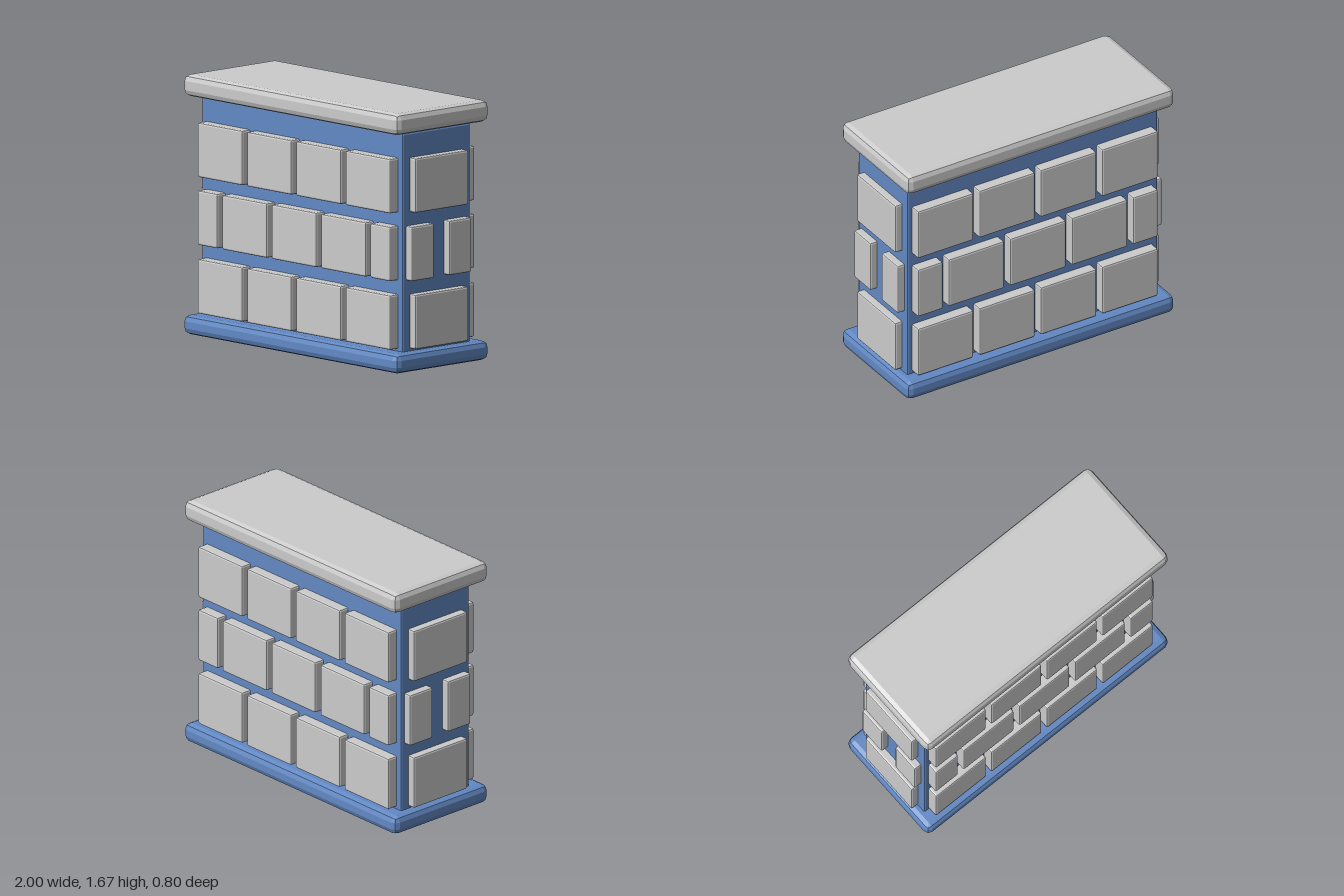
import * as THREE from 'three';
import { RoundedBoxGeometry } from 'three/addons/geometries/RoundedBoxGeometry.js';

export function createModel() {
  const model = new THREE.Group();
  model.name = 'stoneWall';
  const stone = new THREE.MeshStandardMaterial({ color: 0xcccccc, flatShading: true });
  const mortar = new THREE.MeshStandardMaterial({ color: 0x6289c4, flatShading: true });

  // Bevelled block given by its lower and upper corners
  function block(name, parent, material, [x0, y0, z0], [x1, y1, z1], bevel) {
    const geometry = new RoundedBoxGeometry(x1 - x0, y1 - y0, z1 - z0, 1, bevel);
    const mesh = new THREE.Mesh(geometry, material);
    mesh.position.set((x0 + x1) / 2, (y0 + y1) / 2, (z0 + z1) / 2);
    mesh.name = name;
    parent.add(mesh);
  }

  // Base slab, core and capstone
  block('base', model, mortar, [-1, 0, -0.4], [1, 0.125, 0.4], 0.04);
  block('core', model, mortar, [-0.935, 0.06, -0.29], [0.935, 1.525, 0.29], 0.012);
  block('capstone', model, stone, [-1, 1.528, -0.4], [1, 1.667, 0.4], 0.04);

  // Bricks per course: bottom y, spans along the long faces and along the ends
  const longFull = [[-0.9, -0.484], [-0.441, -0.025], [0.018, 0.434], [0.477, 0.893]];
  const longStaggered = [[-0.9, -0.714], [-0.67, -0.255], [-0.21, 0.205], [0.25, 0.665], [0.708, 0.893]];
  const endFull = [[-0.228, 0.228]];
  const endStaggered = [[-0.257, -0.063], [0.066, 0.26]];
  const courses = [
    { y: 0.14, long: longFull, end: endFull },
    { y: 0.58, long: longStaggered, end: endStaggered },
    { y: 1.015, long: longFull, end: endFull },
  ];
  const height = 0.35;

  // One long face and one end, repeated by a half turn
  for (const [side, angle] of [['front', 0], ['back', Math.PI]]) {
    const half = new THREE.Group();
    half.name = side + 'Bricks';
    half.rotation.y = angle;
    for (const { y, long, end } of courses) {
      for (const [a, b] of long) {
        block('longFaceBrick', half, stone, [a, y, 0.24], [b, y + height, 0.362], 0.012);
      }
      for (const [a, b] of end) {
        block('endFaceBrick', half, stone, [0.88, y, a], [0.987, y + height, b], 0.012);
      }
    }
    model.add(half);
  }
  return model;
}
